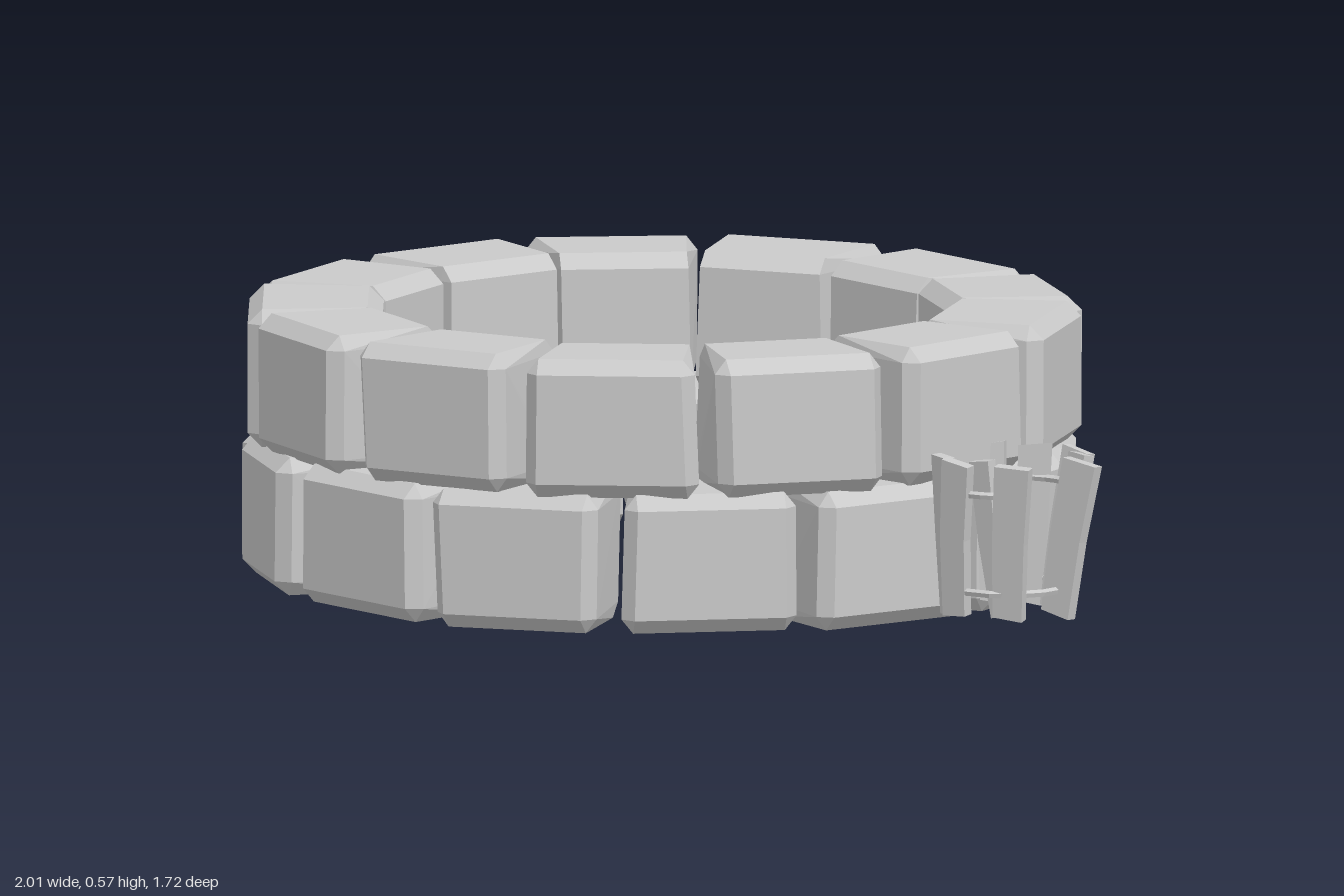
import * as THREE from 'three';
import { ConvexGeometry } from 'three/addons/geometries/ConvexGeometry.js';

const COUNT = 13, CENTER_X = -0.145;
const stoneGrey = new THREE.MeshStandardMaterial({ color: 0xcacaca, flatShading: true });
stoneGrey.name = 'stoneGrey';

function seeded(seed) {
  return () => (seed = (seed * 16807) % 2147483647) / 2147483647;
}

// Bevelled wedge: x runs along the ring, y up, z outwards from the ring centre
function stoneGeometry(rand) {
  const points = [];
  const jitter = () => (rand() - 0.5) * 0.012;
  for (const sx of [-1, 1]) for (const sy of [-1, 1]) for (const outer of [false, true]) {
    const w = outer ? 0.178 : 0.138;
    const z = outer ? 0.845 : 0.57;
    const h = 0.143;
    const dz = outer ? -1 : 1;
    const j = jitter();
    const bx = outer ? 0.024 : 0.006, by = 0.03, bz = 0.03;
    points.push(
      new THREE.Vector3(sx * (w - bx) + j, sy * (h - by), z),
      new THREE.Vector3(sx * (w - bx) + j, sy * h, z + dz * bz),
      new THREE.Vector3(sx * w + j, sy * (h - by), z + dz * bz),
    );
  }
  return new ConvexGeometry(points);
}

// One ring of stones
function course(name, y, offset, rand) {
  const ring = new THREE.Group();
  ring.name = name;
  for (let i = 0; i < COUNT; i++) {
    const stone = new THREE.Mesh(stoneGeometry(rand), stoneGrey);
    stone.name = 'stone';
    const angle = Math.PI + ((i + offset) * 2 * Math.PI) / COUNT;
    stone.rotation.set(0, Math.PI / 2 - angle + (rand() - 0.5) * 0.03, (rand() - 0.5) * 0.04, 'YXZ');
    stone.position.y = y + (rand() - 0.5) * 0.006;
    ring.add(stone);
  }
  ring.position.x = CENTER_X;
  return ring;
}

// Bucket staves: x, z, width, yaw, lean towards +x, lean towards +z
const STAVES = [
  [0.695, 0.14, 0.06, 0.3, -0.06, -0.08],
  [0.775, 0.115, 0.065, 0.1, -0.02, -0.12],
  [0.86, 0.125, 0.07, -0.25, 0.12, -0.1],
  [0.895, 0.18, 0.06, -0.5, 0.1, -0.14],
  [0.935, 0.25, 0.085, -0.2, 0.18, 0.01],
  [0.86, 0.365, 0.075, 0.1, 0.1, 0.13],
  [0.80, 0.335, 0.05, -0.2, -0.13, 0.03],
  [0.735, 0.365, 0.065, -0.15, 0.07, 0.12],
  [0.69, 0.325, 0.05, -0.45, -0.04, 0.03],
];

function staveGeometry(width, rand) {
  const g = new THREE.BoxGeometry(width, 0.325, 0.024, 1, 2, 1);
  const p = g.attributes.position;
  const bow = (rand() - 0.5) * 0.012, slant = (rand() - 0.5) * 0.3;
  for (let i = 0; i < p.count; i++) {
    const t = p.getY(i) / 0.1625;
    // uneven ends, a slight bow and a narrower foot
    p.setY(i, p.getY(i) + t * p.getX(i) * slant);
    p.setX(i, p.getX(i) * (0.93 + 0.08 * t) + (1 - t * t) * bow);
  }
  g.computeVertexNormals();
  return g;
}

// Hoop segment around the bucket, angles from +x towards +z
function hoop(name, y, from, to, rx, rz) {
  const points = [];
  for (let i = 0; i <= 8; i++) {
    const a = from + ((to - from) * i) / 8;
    points.push(new THREE.Vector3(0.795 + rx * Math.cos(a), y, 0.245 + rz * Math.sin(a)));
  }
  const curve = new THREE.CatmullRomCurve3(points);
  const mesh = new THREE.Mesh(new THREE.TubeGeometry(curve, 10, 0.008, 5), stoneGrey);
  mesh.name = name;
  return mesh;
}

function brokenBucket(rand) {
  const bucket = new THREE.Group();
  bucket.name = 'brokenBucket';
  for (const [x, z, width, yaw, leanX, leanZ] of STAVES) {
    const stave = new THREE.Mesh(staveGeometry(width, rand), stoneGrey);
    stave.name = 'stave';
    stave.position.set(x, 0.19, z);
    stave.rotation.set(leanZ, yaw, -leanX, 'XZY');
    bucket.add(stave);
  }
  bucket.add(
    hoop('lowerHoop', 0.08, -2.4, 2.4, 0.115, 0.125),
    hoop('upperHoopFront', 0.285, 0.9, 2.5, 0.13, 0.135),
    hoop('upperHoopBack', 0.285, -2.5, -0.5, 0.13, 0.135),
  );
  return bucket;
}

export function createModel() {
  const model = new THREE.Group();
  model.name = 'stoneWell';
  const rand = seeded(4217);
  model.add(
    course('lowerCourse', 0.15, 0.5, rand),
    course('upperCourse', 0.43, 0, rand),
    brokenBucket(rand),
  );
  return model;
}
